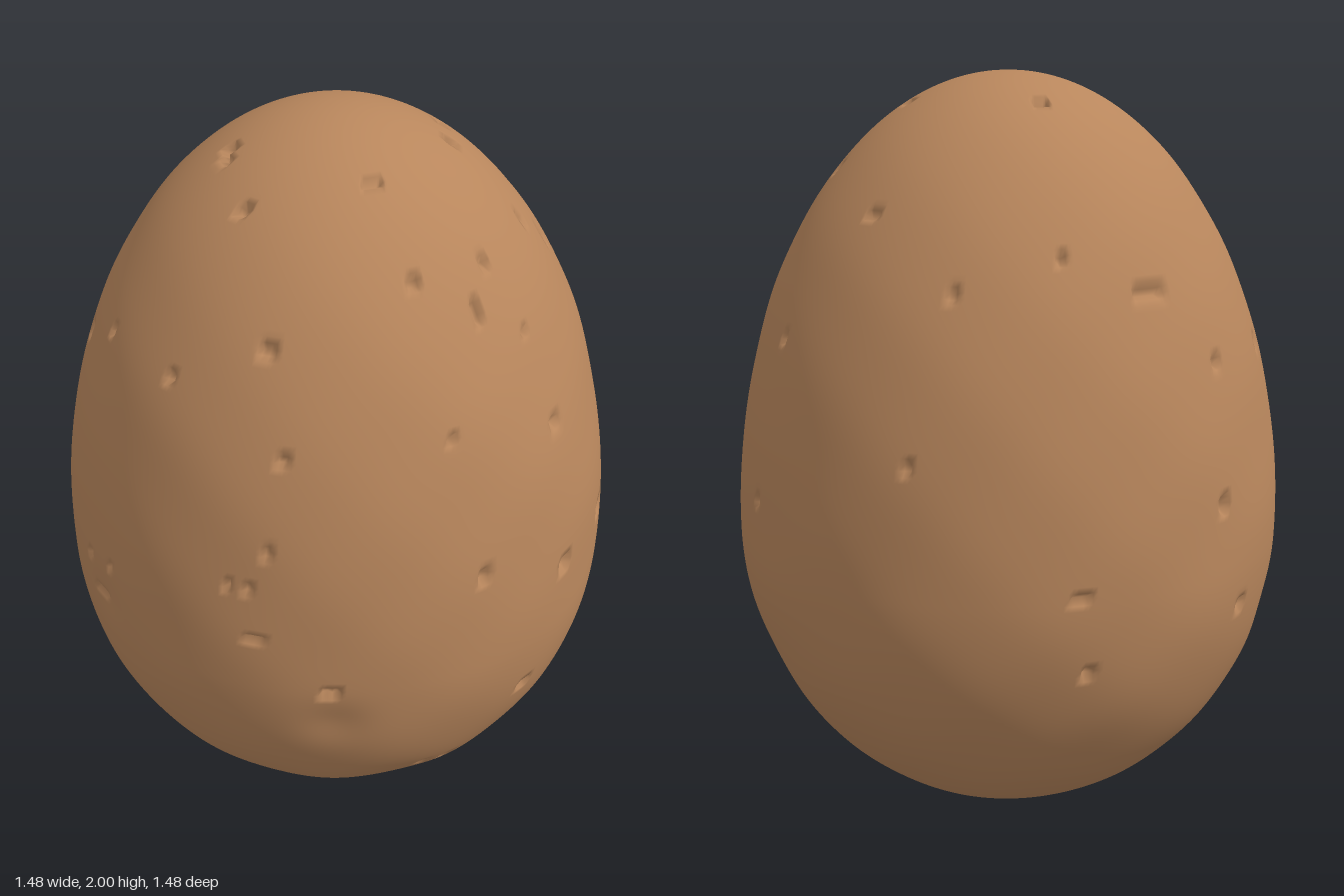
import * as THREE from 'three';

const ROWS = 186, COLS = 390;

// Egg outline: a short half ellipse below the widest ring, a tall one above
const WIDEST = 0.8, RADIUS = 0.737;
const outline = [];
for (let i = 0; i <= 60; i++) {
  const t = (i / 60 - 0.5) * Math.PI;
  const reach = t > 0 ? 2 - WIDEST : WIDEST;
  outline.push(new THREE.Vector2(RADIUS * Math.cos(t), WIDEST + reach * Math.sin(t)));
}
const rings = new THREE.SplineCurve(outline).getSpacedPoints(ROWS);

function radiusAt(y) {
  const reach = y > WIDEST ? 2 - WIDEST : WIDEST;
  return RADIUS * Math.sqrt(1 - ((y - WIDEST) / reach) ** 2);
}
function heightAt(r) {
  return WIDEST + (2 - WIDEST) * Math.sqrt(Math.max(0, 1 - (r / RADIUS) ** 2));
}

// Pits on the front: x, height, width, length
const frontPits = [
  [-0.53, 1.43, 0.05, 0.04], [-0.65, 0.92, 0.03, 0.04], [-0.18, 1.91, 0.04, 0.02],
  [-0.07, 1.86, 0.03, 0.02], [0.09, 1.64, 0.04, 0.03], [0.31, 0.8, 0.03, 0.03],
  [-0.41, 0.93, 0.02, 0.03], [-0.31, 0.96, 0.015, 0.025], [0.14, 0.95, 0.05, 0.015],
  [0.07, 1.09, 0.015, 0.03], [0.12, 1.09, 0.015, 0.03], [0.17, 1.42, 0.025, 0.02],
  [-0.37, 1.53, 0.02, 0.03], [-0.14, 1.53, 0.02, 0.03], [0.5, 0.34, 0.03, 0.07],
  [0.11, 0.3, 0.02, 0.03], [-0.53, 0.28, 0.03, 0.03], [-0.37, 0.84, 0.07, 0.015],
  [0.16, 1.2, 0.015, 0.03],
];
// Pits on the left flank: z, height, width, length
const sidePits = [
  [0.19, 1.92, 0.05, 0.02], [-0.19, 1.92, 0.05, 0.02], [0.29, 1.76, 0.03, 0.03],
  [-0.29, 1.76, 0.03, 0.03], [0.12, 1.75, 0.025, 0.03], [-0.12, 1.75, 0.025, 0.03],
  [0.21, 1.67, 0.02, 0.06], [-0.21, 1.67, 0.02, 0.05], [0.11, 1.59, 0.02, 0.02],
  [0.11, 1.36, 0.04, 0.03], [0.39, 1.44, 0.025, 0.02], [0.4, 1.08, 0.03, 0.04],
  [-0.39, 1.08, 0.03, 0.04], [0.14, 0.97, 0.05, 0.04], [-0.12, 0.97, 0.06, 0.04],
  [0.25, 0.62, 0.04, 0.03], [-0.22, 0.62, 0.06, 0.02], [0.41, 0.37, 0.02, 0.04],
  [-0.4, 0.37, 0.02, 0.03], [0.24, 0.24, 0.04, 0.03], [0.13, 0.14, 0.05, 0.03],
  [0.66, 0.8, 0.02, 0.03], [-0.57, 1.36, 0.02, 0.03],
];
// Pits on the upper surface: x, z, width, length
const upperPits = [
  [-0.19, 0.18, 0.04, 0.03], [-0.19, -0.18, 0.04, 0.03], [0.25, -0.11, 0.04, 0.03],
  [0.09, -0.5, 0.04, 0.02], [-0.53, -0.28, 0.09, 0.03], [-0.65, 0.14, 0.03, 0.03],
  [-0.65, -0.14, 0.03, 0.03], [-0.06, 0.33, 0.03, 0.02], [-0.37, -0.42, 0.02, 0.03],
  [-0.17, -0.57, 0.02, 0.03], [0.59, -0.4, 0.03, 0.05],
];
// Pits on the back: angle, height, width, length
const backPits = [
  [222, 0.82, 0.05, 0.02], [224, 0.62, 0.03, 0.03], [255, 0.98, 0.03, 0.04],
  [262, 0.7, 0.04, 0.03], [190, 1.12, 0.02, 0.03], [148, 0.95, 0.02, 0.03],
];

function makePit(angle, y, w, h) {
  const r = radiusAt(y);
  return {
    centre: new THREE.Vector3(Math.sin(angle) * r, y, Math.cos(angle) * r),
    across: new THREE.Vector3(Math.cos(angle), 0, -Math.sin(angle)),
    w: w / 2, h: h / 2,
  };
}
const clampAsin = (s) => Math.asin(THREE.MathUtils.clamp(s, -1, 1));
const pits = [
  ...frontPits.map(([x, y, w, h]) => makePit(clampAsin(x / radiusAt(y)), y, w, h)),
  ...sidePits.map(([z, y, w, h]) => makePit(Math.PI / 2 - clampAsin(z / radiusAt(y)), y, w, h)),
  ...upperPits.map(([x, z, w, h]) => makePit(Math.atan2(x, z), heightAt(Math.hypot(x, z)), w, h)),
  ...backPits.map(([a, y, w, h]) => makePit(THREE.MathUtils.degToRad(a), y, w, h)),
];

// Broad, soft dents: angle, height, size, depth
const dents = [
  [26, 0.68, 0.08, 0.014], [-20, 0.3, 0.1, 0.007], [8, 0.2, 0.12, 0.012], [-28, 0.84, 0.07, 0.006],
  [42, 0.3, 0.1, 0.006], [135, 0.4, 0.14, 0.01], [285, 0.6, 0.08, 0.006], [225, 0.35, 0.12, 0.006],
].map(([a, y, size, depth]) => ({
  centre: makePit(THREE.MathUtils.degToRad(a), y, 0, 0).centre, size, depth,
}));

const offset = new THREE.Vector3();
function sinkAt(p) {
  let soft = 0, pit = 0;
  for (const d of dents) {
    soft += d.depth * Math.exp(-p.distanceToSquared(d.centre) / (d.size * d.size));
  }
  for (const d of pits) {
    offset.subVectors(p, d.centre);
    const dist = offset.lengthSq();
    if (dist > 0.015) continue;
    const u = offset.dot(d.across);
    const v = Math.sqrt(Math.max(0, dist - u * u));
    const edge = Math.max(Math.abs(u) - d.w, v - d.h);
    pit = Math.max(pit, 0.022 * (1 - THREE.MathUtils.smoothstep(edge, -0.006, 0.004)));
  }
  // Faint unevenness, fading out at both ends
  const fade = Math.min(1, p.y * 4, (2 - p.y) * 2);
  const wave = Math.sin(7 * p.x + 5 * p.y) * Math.sin(8 * p.z - 6 * p.y + 1)
    + 0.7 * Math.sin(15 * p.x - 9 * p.z) * Math.sin(17 * p.y + 2);
  return soft * Math.min(1, p.y * 8) + pit + 0.002 * wave * fade;
}

function eggGeometry() {
  const pos = [0, 0, 0], index = [];
  const p = new THREE.Vector3(), normal = new THREE.Vector3();
  for (let i = 1; i < ROWS; i++) {
    const slope = rings[i + 1].clone().sub(rings[i - 1]).normalize();
    for (let j = 0; j < COLS; j++) {
      const a = (j / COLS) * Math.PI * 2;
      p.set(Math.sin(a) * rings[i].x, rings[i].y, Math.cos(a) * rings[i].x);
      normal.set(Math.sin(a) * slope.y, -slope.x, Math.cos(a) * slope.y);
      p.addScaledVector(normal, -sinkAt(p));
      pos.push(p.x, p.y, p.z);
    }
  }
  pos.push(0, 2, 0);
  const top = pos.length / 3 - 1;
  const id = (i, j) => 1 + (i - 1) * COLS + (j % COLS);
  for (let j = 0; j < COLS; j++) {
    index.push(0, id(1, j + 1), id(1, j), top, id(ROWS - 1, j), id(ROWS - 1, j + 1));
    for (let i = 1; i < ROWS - 1; i++) {
      const a = id(i, j), b = id(i, j + 1), c = id(i + 1, j + 1), d = id(i + 1, j);
      index.push(a, b, c, a, c, d);
    }
  }
  const geo = new THREE.BufferGeometry();
  geo.setAttribute('position', new THREE.Float32BufferAttribute(pos, 3));
  geo.setIndex(index);
  geo.computeVertexNormals();
  return geo;
}

export function createModel() {
  const group = new THREE.Group();
  group.name = 'egg';
  const brownShell = new THREE.MeshStandardMaterial({ color: 0xb8865c });
  brownShell.name = 'brownShell';
  const shell = new THREE.Mesh(eggGeometry(), brownShell);
  shell.name = 'shell';
  group.add(shell);
  return group;
}
